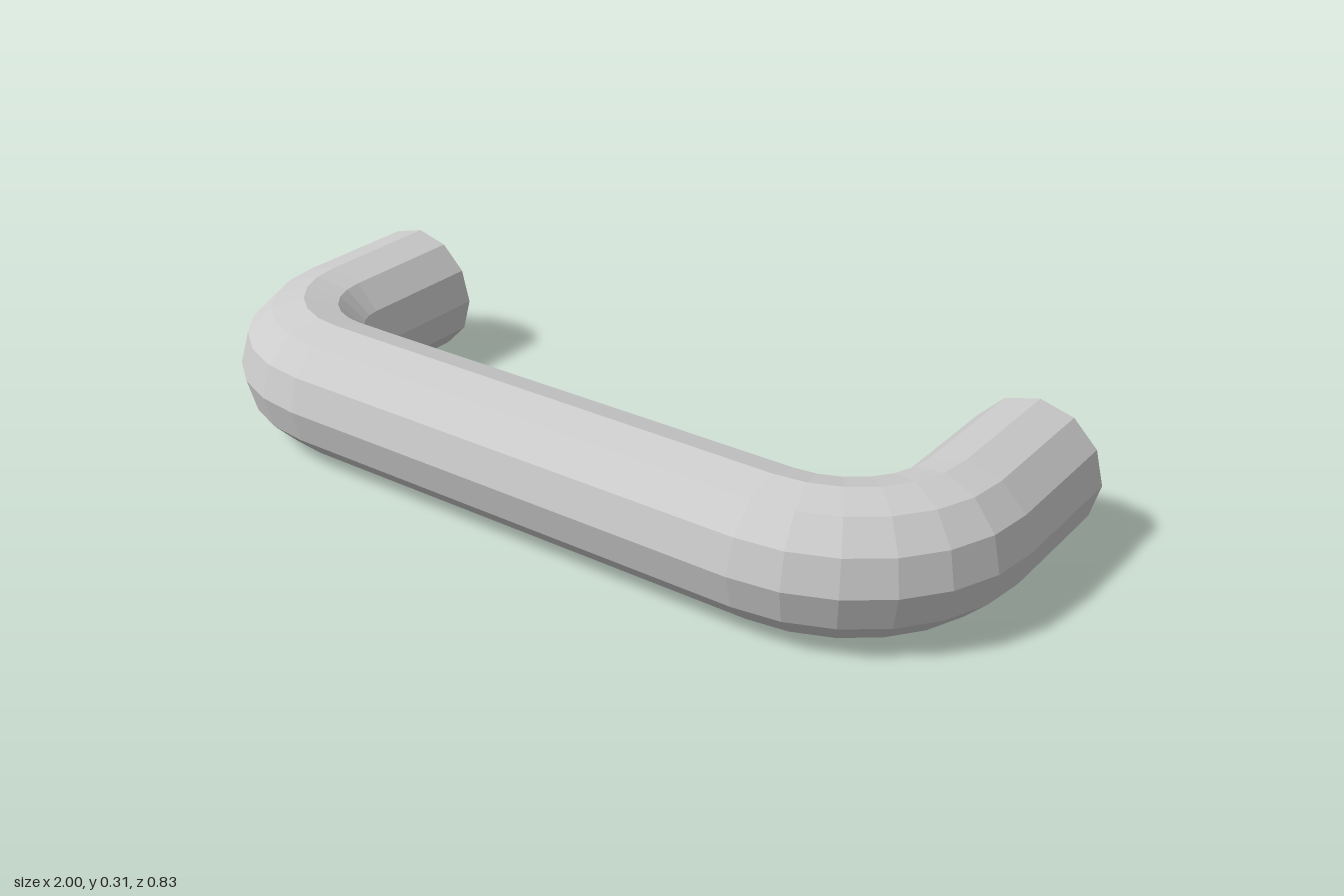
import * as THREE from 'three';

const SIDES = 12;
const R = 0.157; // outer tube radius, also the centre height
const BORE = 0.073; // radius of the bore

// Joins a row of 12-sided rings; each station is { x, z, turn, r }
// where turn is the heading around the U (0 left leg, PI/2 bar, PI right leg).
function loft(name, stations, material) {
  const pos = [];
  const index = [];
  stations.forEach(({ x, z, turn, r }) => {
    for (let j = 0; j < SIDES; j++) {
      const a = (j / SIDES) * Math.PI * 2;
      const out = r * Math.cos(a);
      pos.push(x - out * Math.cos(turn), R + r * Math.sin(a), z + out * Math.sin(turn));
    }
  });
  for (let i = 0; i < stations.length - 1; i++) {
    for (let j = 0; j < SIDES; j++) {
      const k = (j + 1) % SIDES;
      const a = i * SIDES + j, b = i * SIDES + k;
      const c = (i + 1) * SIDES + k, d = (i + 1) * SIDES + j;
      index.push(a, d, c, a, c, b);
    }
  }
  const geometry = new THREE.BufferGeometry();
  geometry.setAttribute('position', new THREE.Float32BufferAttribute(pos, 3));
  geometry.setIndex(index);
  geometry.computeVertexNormals();
  const mesh = new THREE.Mesh(geometry, material);
  mesh.name = name;
  return mesh;
}

// Quarter bend around (cx, cz), starting at the given heading
function bend(cx, cz, radius, start) {
  const steps = 6;
  return Array.from({ length: steps + 1 }, (_, i) => {
    const turn = start + (i / steps) * Math.PI / 2;
    return { x: cx - radius * Math.cos(turn), z: cz + radius * Math.sin(turn), turn };
  });
}

export function createModel() {
  const group = new THREE.Group();
  group.name = 'pipeHandle';
  const material = new THREE.MeshStandardMaterial({ color: 0xcccccc, flatShading: true });

  // Centreline: left leg, bend, bar, bend, right leg
  const leftEnd = { x: -0.845, z: -0.305, turn: 0 };
  const rightEnd = { x: 0.845, z: -0.355, turn: Math.PI };
  const tip = { x: 0.845, z: -0.415, turn: Math.PI };
  const path = [
    leftEnd,
    ...bend(-0.6, 0.01, 0.245, 0),
    ...bend(0.57, -0.02, 0.275, Math.PI / 2),
    rightEnd,
  ];
  const sized = (points, r) => points.map((p) => ({ ...p, r }));

  // Outer wall of the bent pipe
  group.add(loft('pipe', sized(path, R), material));
  // Chamfered tip on the longer leg
  group.add(loft('taperedTip', [{ ...rightEnd, r: R }, { ...tip, r: BORE }], material));
  // Flat ring closing the shorter leg
  group.add(loft('flatEnd', [{ ...leftEnd, r: BORE }, { ...leftEnd, r: R }], material));
  // Bore running back through the pipe, facing inward
  group.add(loft('bore', sized([...path, tip].reverse(), BORE), material));

  return group;
}
